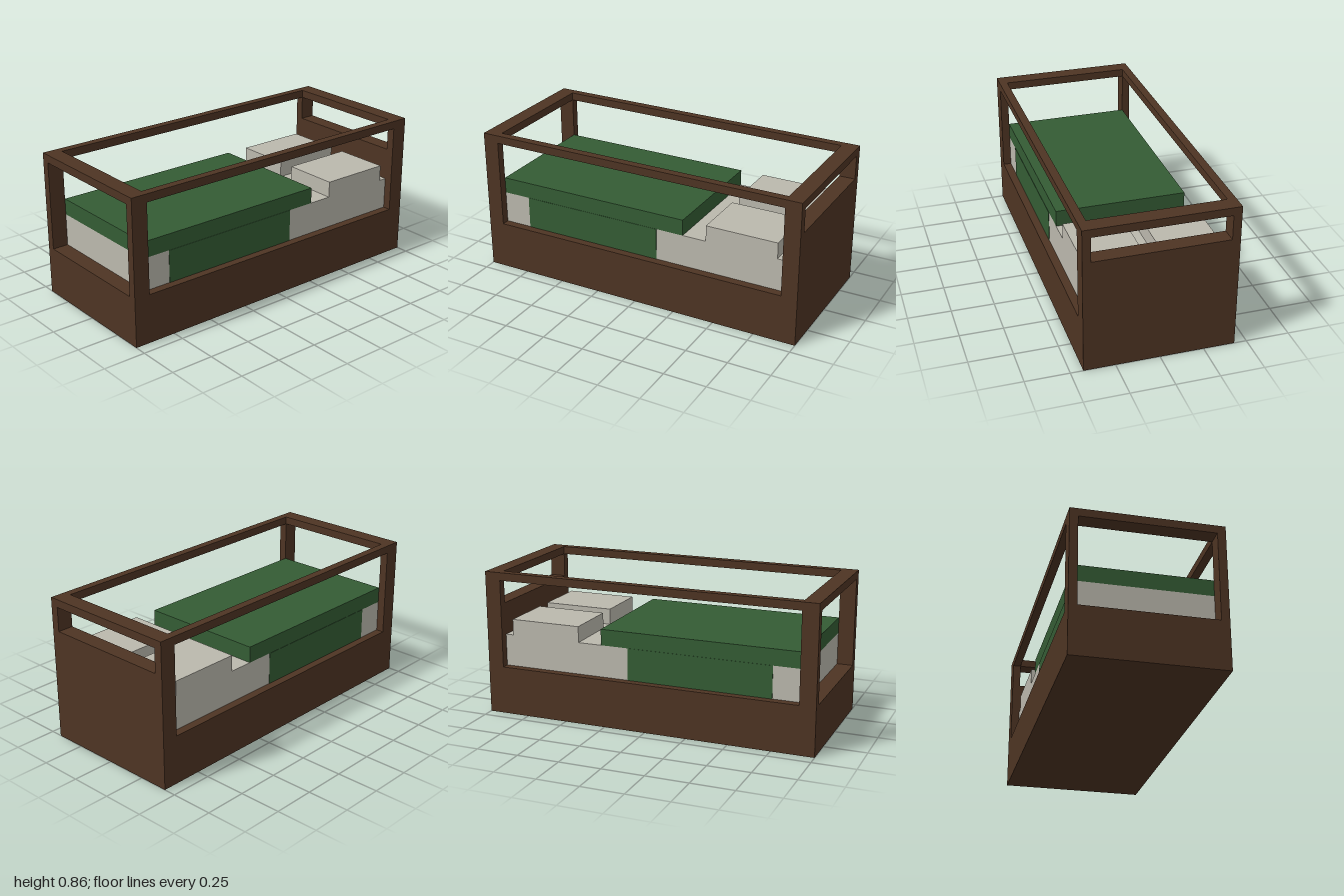
import * as THREE from 'three';

const material = (name, color) => {
  const m = new THREE.MeshStandardMaterial({ color });
  m.name = name;
  return m;
};

export function createModel() {
  const wood = material('dark wood', 0x4e3423);
  const linen = material('linen', 0xbbb8ad);
  const green = material('green blanket', 0x345c34);

  const bed = new THREE.Group();
  bed.name = 'bed';

  // box given by its extents along each axis
  const box = (name, mat, [x0, x1], [y0, y1], [z0, z1]) => {
    const mesh = new THREE.Mesh(new THREE.BoxGeometry(x1 - x0, y1 - y0, z1 - z0), mat);
    mesh.position.set((x0 + x1) / 2, (y0 + y1) / 2, (z0 + z1) / 2);
    mesh.name = name;
    bed.add(mesh);
  };
  const span = (s, a, b) => (s > 0 ? [a, b] : [-b, -a]);

  const X = 0.4286, xi = 0.381, Z = 1, zi = 0.905;
  const baseTop = 0.286, mattressTop = 0.476, beddingTop = 0.571;
  const railBottom = 0.81, top = 0.857;

  // frame
  box('base', wood, [-X, X], [0, baseTop], [-Z, Z]);
  box('headboard', wood, [-xi, xi], [baseTop, 0.667], [-Z, -zi]);
  for (const sx of [1, -1]) {
    const side = sx > 0 ? 'left' : 'right';
    box(side + 'TopRail', wood, span(sx, xi, X), [railBottom, top], [-zi, zi]);
    for (const sz of [1, -1]) {
      box(side + (sz > 0 ? 'Front' : 'Back') + 'Post', wood,
        span(sx, xi, X), [baseTop, top], span(sz, zi, Z));
    }
  }
  box('footTopRail', wood, [-xi, xi], [railBottom, top], [zi, Z]);
  box('headTopRail', wood, [-xi, xi], [railBottom, top], [-Z, -zi]);

  // bedding
  box('mattress', linen, [-xi, xi], [baseTop, mattressTop], [-zi, zi]);
  box('blanket', green, [-xi, xi], [mattressTop, beddingTop], [-0.286, zi]);
  for (const sx of [1, -1]) {
    const side = sx > 0 ? 'left' : 'right';
    box(side + 'Pillow', linen, span(sx, 0.048, xi), [mattressTop, beddingTop], [-0.857, -0.429]);
    // blanket hanging over the mattress side
    box(side + 'BlanketDrape', green, span(sx, xi, xi + 0.002), [baseTop, mattressTop], [-0.12, 0.74]);
  }

  return bed;
}
